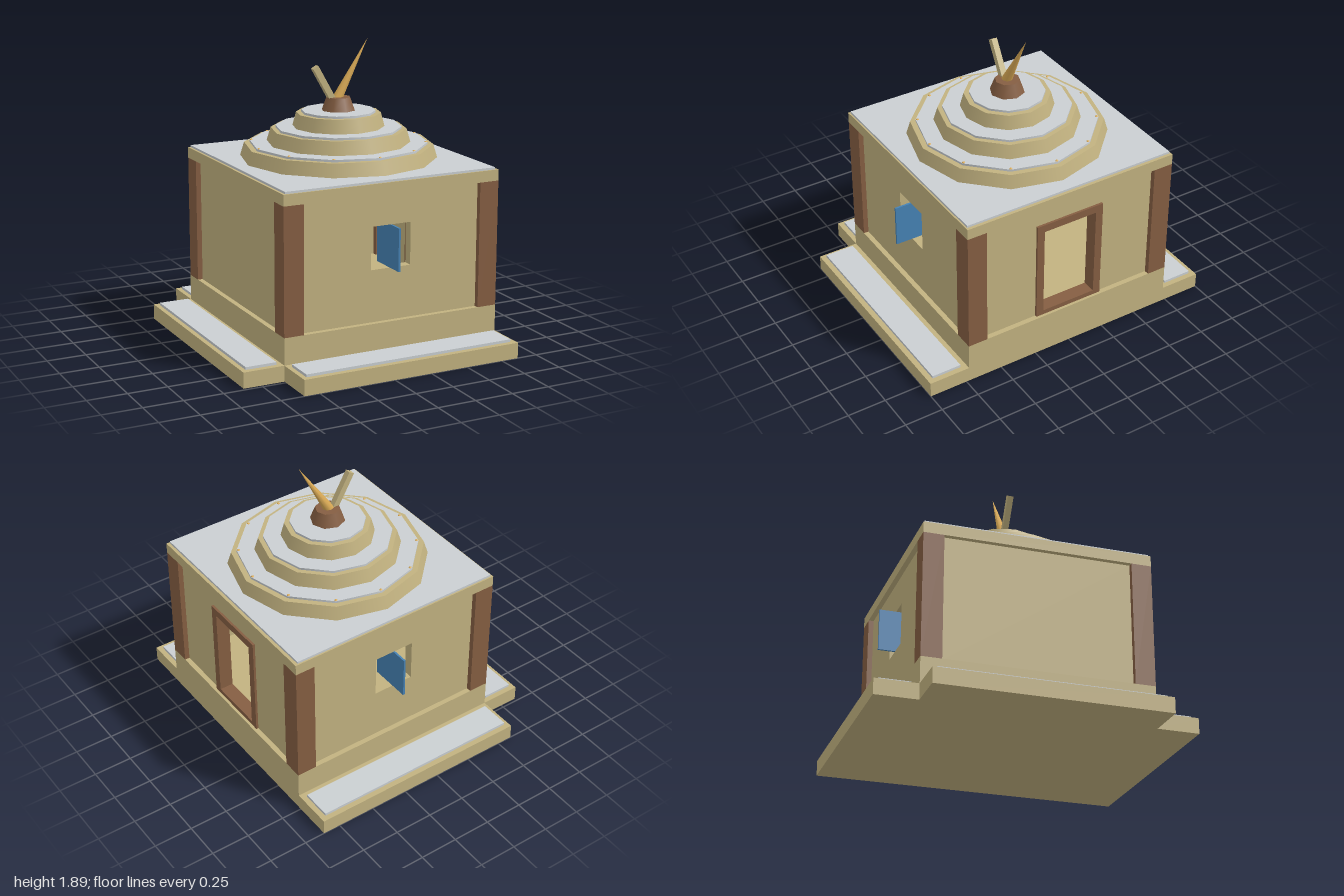
import * as THREE from 'three';

const mat = (name, color) => {
  const m = new THREE.MeshStandardMaterial({ color });
  m.name = name;
  return m;
};

export function createModel() {
  const root = new THREE.Group();
  root.name = 'shrine';
  const sand = mat('sandstone', 0xc2b280);
  const wood = mat('brown wood', 0x855e42);
  const snow = mat('pale grey', 0xcacfd2);
  const blue = mat('blue shutter', 0x4682b4);
  const gold = mat('gold', 0xdaaa55);
  const CX = 0.13; // centre of the building

  const add = (name, geo, material, x = 0, y = 0, z = 0) => {
    const mesh = new THREE.Mesh(geo, material);
    mesh.name = name;
    mesh.position.set(x, y, z);
    root.add(mesh);
    return mesh;
  };
  // box given by its two extreme corners
  const box = (name, material, [x0, x1], [y0, y1], [z0, z1]) =>
    add(name, new THREE.BoxGeometry(x1 - x0, y1 - y0, z1 - z0), material,
      (x0 + x1) / 2, (y0 + y1) / 2, (z0 + z1) / 2);
  // upright frustum on the building axis
  const frustum = (name, material, r0, r1, y0, y1, sides) =>
    add(name, new THREE.CylinderGeometry(r1, r0, y1 - y0, sides), material, CX, (y0 + y1) / 2, 0);
  const rect = (Type, x0, x1, y0, y1) => {
    const p = new Type();
    p.moveTo(x0, y0).lineTo(x1, y0).lineTo(x1, y1).lineTo(x0, y1).closePath();
    return p;
  };
  const extrude = (shape, depth) => new THREE.ExtrudeGeometry(shape, { depth, bevelEnabled: false });

  // plinth and low steps on three sides
  box('plinth', sand, [-0.6, 0.865], [0, 0.27], [-0.73, 0.73]);
  for (const s of [1, -1]) {
    const span = (a, b) => (s > 0 ? [a, b] : [-b, -a]);
    box('step', sand, [-0.6, 0.865], [0, 0.1], span(0.73, 1));
    box('stepTop', snow, [-0.57, 0.83], [0.1, 0.117], span(0.77, 0.965));
  }
  box('leftStep', sand, [-0.865, -0.6], [0, 0.1], [-0.73, 0.73]);
  box('leftStepTop', snow, [-0.835, -0.635], [0.1, 0.117], [-0.695, 0.695]);

  // corner pillars
  for (const x of [[-0.6, -0.47], [0.735, 0.865]])
    for (const z of [[-0.73, -0.6], [0.6, 0.73]]) box('pillar', wood, x, [0.27, 1.07], z);

  // front and back walls, each with a window and a turned shutter
  const windowWall = rect(THREE.Shape, -0.605, 0.605, 0.27, 1.07);
  windowWall.holes.push(rect(THREE.Path, -0.135, 0.135, 0.6, 0.87));
  for (const s of [1, -1]) {
    add('windowWall', extrude(windowWall, 0.06), sand, CX, 0, s > 0 ? 0.637 : -0.697);
    add('shutter', new THREE.BoxGeometry(0.013, 0.27, 0.27), blue, CX, 0.735, s * 0.67);
  }

  // plain left wall
  box('leftWall', sand, [-0.567, -0.507], [0.27, 1.07], [-0.6, 0.6]);

  // right wall with doorway, and door frame
  const doorWall = new THREE.Shape();
  [[-0.6, 0.27], [-0.21, 0.27], [-0.21, 0.925], [0.21, 0.925], [0.21, 0.27], [0.6, 0.27], [0.6, 1.07], [-0.6, 1.07]]
    .forEach(([x, y], i) => (i ? doorWall.lineTo(x, y) : doorWall.moveTo(x, y)));
  add('doorWall', extrude(doorWall, 0.06).rotateY(Math.PI / 2), sand, 0.772);
  const frame = rect(THREE.Shape, -0.235, 0.235, 0.27, 0.95);
  frame.holes.push(rect(THREE.Path, -0.185, 0.185, 0.3, 0.9));
  add('doorFrame', extrude(frame, 0.09).rotateY(Math.PI / 2), wood, 0.757);

  // fire bowl and flame inside
  frustum('fireBowl', wood, 0.2, 0.17, 0.27, 0.4, 12);
  frustum('flameLower', gold, 0.005, 0.056, 0.395, 0.505, 6);
  frustum('flameUpper', gold, 0.056, 0, 0.505, 0.63, 6);

  // roof slab
  box('roofSlab', sand, [-0.6, 0.865], [1.07, 1.14], [-0.73, 0.73]);
  box('roofTop', snow, [-0.585, 0.845], [1.14, 1.154], [-0.72, 0.72]);

  // stepped twelve-sided tiers
  for (const [r0, r1, rs, y0, y1] of [
    [0.63, 0.6, 0.565, 1.14, 1.238],
    [0.46, 0.43, 0.4, 1.238, 1.337],
    [0.295, 0.268, 0.235, 1.337, 1.438],
  ]) {
    frustum('tier', sand, r0, r1, y0, y1, 12);
    frustum('tierTop', snow, rs, rs, y1, y1 + 0.014, 12);
  }

  // gold studs around the lowest tier
  for (let i = 0; i < 12; i++) {
    const a = (i * Math.PI) / 6;
    add('stud', new THREE.SphereGeometry(0.011, 8, 6), gold,
      CX + 0.553 * Math.sin(a), 1.247, 0.553 * Math.cos(a));
  }

  // finial: pot, slanted spike and rod
  frustum('finialPot', wood, 0.11, 0.078, 1.45, 1.535, 8);
  const spike = add('spike', new THREE.ConeGeometry(0.035, 0.45, 8), gold, 0.2225, 1.7, 0);
  spike.rotation.z = -Math.PI / 6;
  const rod = add('rod', new THREE.BoxGeometry(0.04, 0.3, 0.038), sand, 0.038, 1.604, 0);
  rod.rotation.z = Math.PI / 6;

  return root;
}
